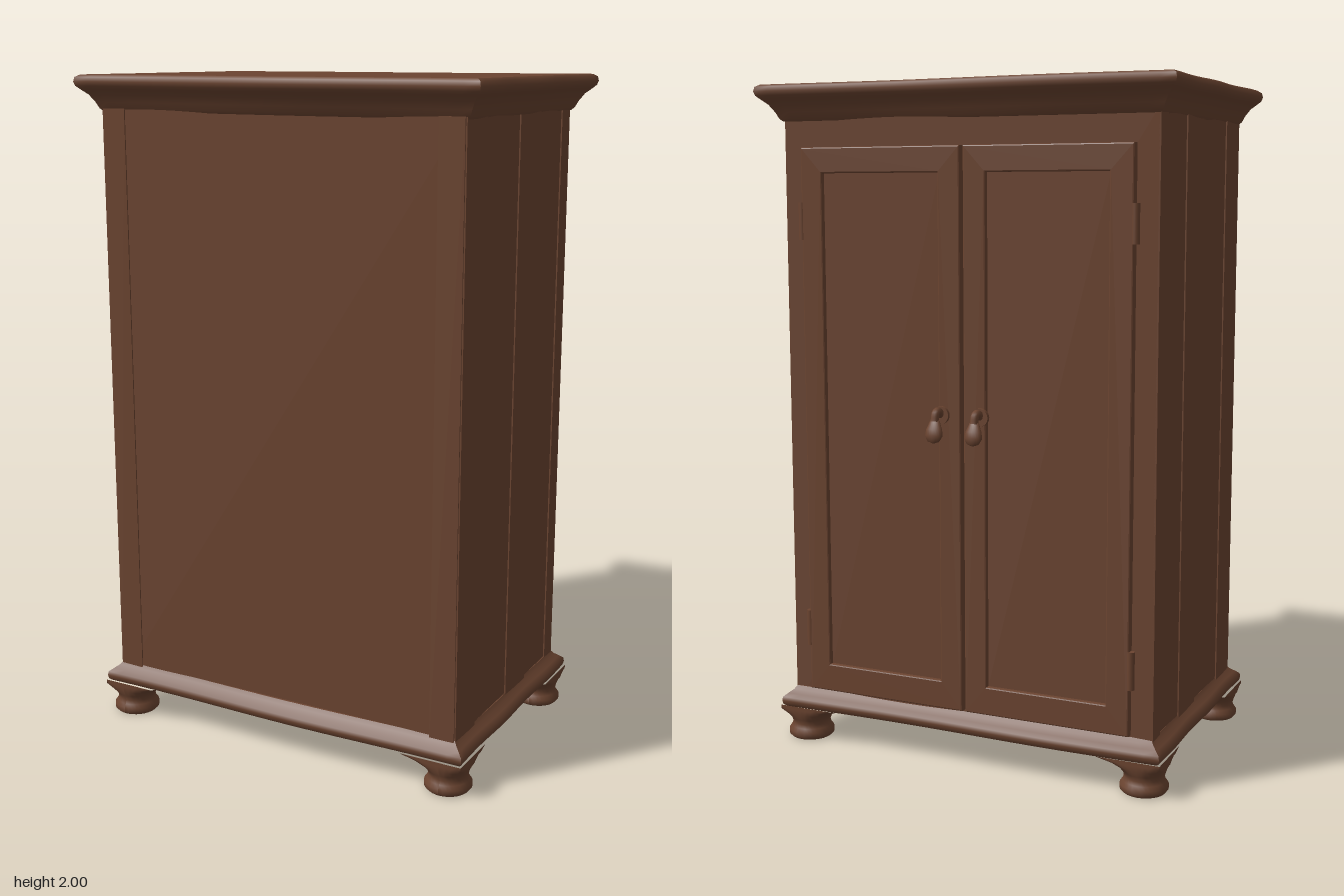
import * as THREE from 'three';

const wood = new THREE.MeshStandardMaterial({ color: 0x6b4430 });
wood.name = 'brown wood';

function add(parent, name, geometry, x = 0, y = 0, z = 0) {
  const mesh = new THREE.Mesh(geometry, wood);
  mesh.name = name;
  mesh.position.set(x, y, z);
  parent.add(mesh);
  return mesh;
}

// box given by its limits
function slab(parent, name, x0, x1, y0, y1, z0, z1) {
  return add(parent, name, new THREE.BoxGeometry(x1 - x0, y1 - y0, z1 - z0),
    (x0 + x1) / 2, (y0 + y1) / 2, (z0 + z1) / 2);
}

// rectangular moulding: profile rows are [outward offset, height]; edges waver a little
function moulding(halfX, halfZ, profile, waver) {
  const n = 28, pos = [], index = [];
  const point = (x, y, z, w) => pos.push(
    x + Math.sign(x) * w * 0.5 * Math.sin(z * 17 + y) * (Math.abs(x) / halfX),
    y,
    z + w * Math.sin(x * 6.5 + (z < 0 ? 3.4 : 1.2)) * (z / halfZ));
  const grid = (rows, fn) => {
    const start = pos.length / 3;
    for (let r = 0; r < rows; r++) for (let i = 0; i <= n; i++) fn(r, i / n * 2 - 1);
    for (let r = 0; r < rows - 1; r++) for (let i = 0; i < n; i++) {
      const a = start + r * (n + 1) + i, b = a + n + 1;
      index.push(a, a + 1, b + 1, a, b + 1, b);
    }
  };
  // four sides
  for (const s of [1, -1]) {
    grid(profile.length, (r, t) => {
      const [o, y] = profile[r];
      point(s * t * (halfX + o), y, s * (halfZ + o), waver);
    });
    grid(profile.length, (r, t) => {
      const [o, y] = profile[r];
      point(s * (halfX + o), y, -s * t * (halfZ + o), waver);
    });
  }
  // top and underside
  for (const [s, row] of [[1, profile[profile.length - 1]], [-1, profile[0]]]) {
    const [o, y] = row;
    grid(n + 1, (r, t) => point(t * (halfX + o), y, -s * (r / n * 2 - 1) * (halfZ + o), waver));
  }
  const geo = new THREE.BufferGeometry();
  geo.setAttribute('position', new THREE.Float32BufferAttribute(pos, 3));
  geo.setIndex(index);
  geo.computeVertexNormals();
  return geo;
}

// bun foot flaring up into the plinth, clipped at the plinth's outer edges
function foot(sx, sz) {
  const profile = [[0, 0], [0.062, 0], [0.07, 0.008], [0.07, 0.022], [0.062, 0.033], [0.058, 0.045],
    [0.062, 0.06], [0.078, 0.078], [0.105, 0.093], [0.15, 0.104]].map(p => new THREE.Vector2(...p));
  const geo = new THREE.LatheGeometry(profile, 32);
  const p = geo.attributes.position;
  for (let i = 0; i < p.count; i++) {
    p.setX(i, sx * Math.min(sx * p.getX(i), 0.068));
    p.setZ(i, sz * Math.min(sz * p.getZ(i), 0.068));
  }
  geo.computeVertexNormals();
  return geo;
}

// framed door with a sunken panel, facing -z
function door(name, x0, x1, outer) {
  const g = new THREE.Group();
  g.name = name;
  const y0 = 0.168, y1 = 1.815;
  const frame = new THREE.Shape([[x0, y0], [x1, y0], [x1, y1], [x0, y1]].map(p => new THREE.Vector2(...p)));
  const a = x0 + 0.07, b = x1 - 0.07, c = y0 + 0.085, d = y1 - 0.075;
  frame.holes.push(new THREE.Path([[a, c], [a, d], [b, d], [b, c]].map(p => new THREE.Vector2(...p))));
  add(g, 'doorFrame', new THREE.ExtrudeGeometry(frame, {
    depth: 0.02, bevelThickness: 0.005, bevelSize: 0.004, bevelOffset: -0.004, bevelSegments: 2,
  }), 0, 0, -0.379);
  slab(g, 'doorPanel', a, b, c, d, -0.369, -0.355);
  // hinges on the outer edge
  for (const y of [0.36, 1.6]) add(g, 'hinge', new THREE.CylinderGeometry(0.012, 0.012, 0.11, 12), outer, y, -0.374);
  return g;
}

// drop pull: plate, stem and hanging pear-shaped drop
function pull(x) {
  const g = new THREE.Group();
  g.name = 'doorPull';
  g.position.set(x, 0, 0);
  const plate = add(g, 'pullPlate', new THREE.CylinderGeometry(0.026, 0.026, 0.012, 20), 0, 1.05, -0.388);
  plate.rotation.x = Math.PI / 2;
  const path = new THREE.CatmullRomCurve3([[1.05, -0.385], [1.063, -0.405], [1.06, -0.42], [1.035, -0.428]]
    .map(([y, z]) => new THREE.Vector3(0, y, z)));
  add(g, 'pullStem', new THREE.TubeGeometry(path, 14, 0.012, 10), 0, 0, 0);
  const drop = add(g, 'pullDrop', new THREE.LatheGeometry(
    [[0, -0.04], [0.018, -0.034], [0.027, -0.018], [0.025, 0], [0.015, 0.025], [0, 0.04]]
      .map(p => new THREE.Vector2(...p)), 20), 0, 1.013, -0.431);
  drop.scale.z = 0.5;
  drop.rotation.x = 0.2;
  return g;
}

export function createModel() {
  const model = new THREE.Group();
  model.name = 'wardrobe';

  // carcass, with raised edges round the plain face
  slab(model, 'carcass', -0.587, 0.577, 0.11, 1.91, -0.36, 0.381);
  for (const [x0, x1] of [[-0.587, -0.51], [0.5, 0.577]]) slab(model, 'plainFaceStile', x0, x1, 0.14, 1.9, 0.38, 0.385);

  // side planks, slightly stepped
  for (const [x0, x1] of [[-0.591, -0.586], [0.576, 0.581]]) {
    for (const [z0, z1] of [[-0.36, -0.3], [-0.13, 0.02], [0.25, 0.381]]) slab(model, 'sidePlank', x0, x1, 0.14, 1.9, z0, z1);
  }

  // cornice and plinth
  add(model, 'cornice', moulding(0.582, 0.372,
    [[0, 1.892], [0.008, 1.9], [0.016, 1.918], [0.03, 1.94], [0.048, 1.956], [0.057, 1.965], [0.061, 1.977], [0.058, 1.99], [0.046, 1.997]],
    0.008), -0.004, 0, 0.01);
  add(model, 'plinth', moulding(0.582, 0.372,
    [[0.026, 0.1], [0.033, 0.106], [0.036, 0.118], [0.034, 0.13], [0.022, 0.14], [0.008, 0.151], [0, 0.162]],
    0.004), -0.004, 0, 0.012);

  // feet
  for (const sx of [1, -1]) for (const sz of [1, -1]) {
    add(model, 'foot', foot(sx, sz), sx * 0.553 - 0.004, 0, sz * 0.343 + 0.012);
  }

  // doors and pulls
  model.add(door('leftDoor', -0.005, 0.515, 0.517));
  model.add(door('rightDoor', -0.525, -0.015, -0.527));
  model.add(pull(0.055), pull(-0.07));
  return model;
}
